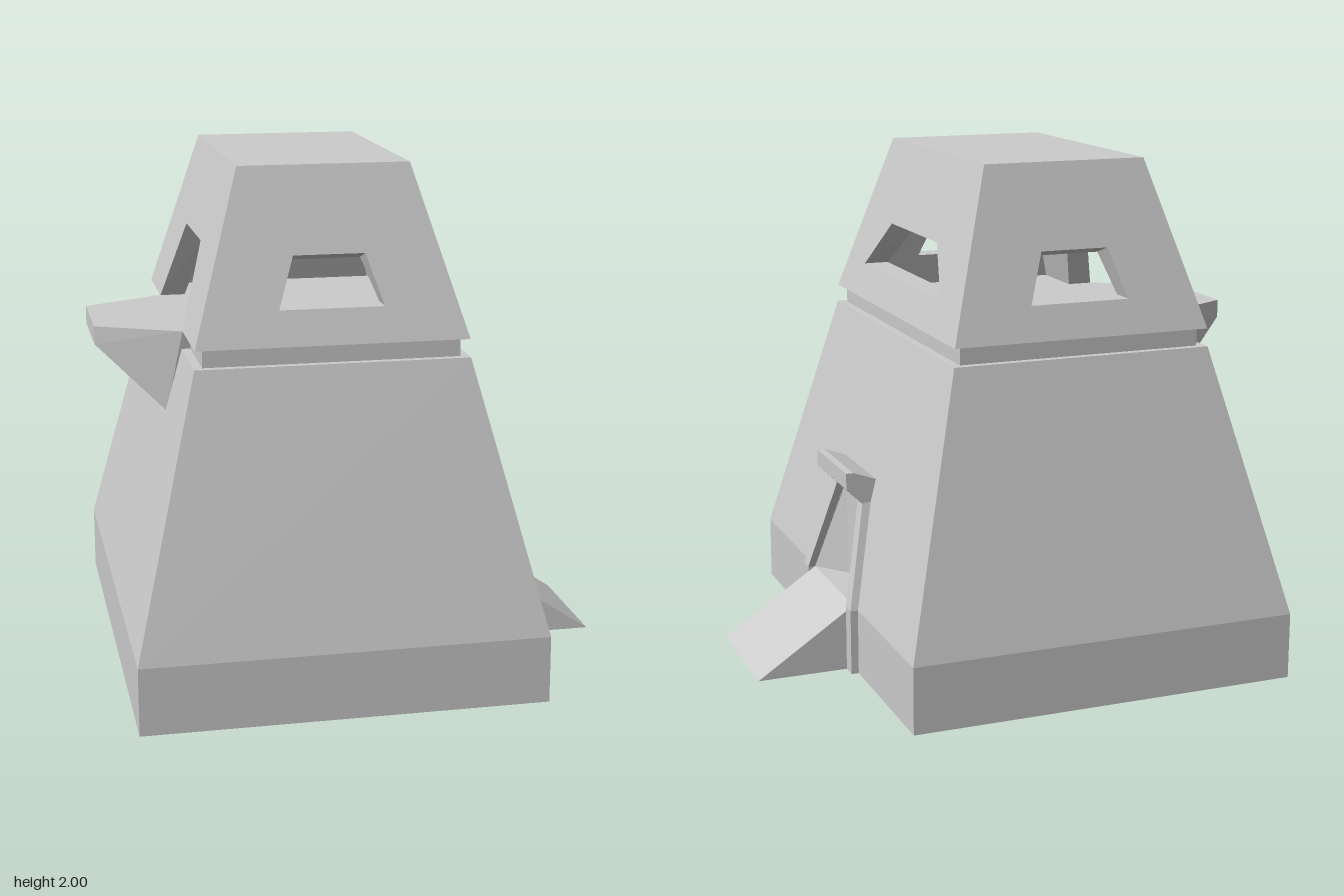
import * as THREE from 'three';
import { ConvexGeometry } from 'three/addons/geometries/ConvexGeometry.js';

const CX = -0.165; // centre of the tower in x
const mat = new THREE.MeshStandardMaterial({ color: 0xcccccc, flatShading: true });
const thinMat = new THREE.MeshStandardMaterial({ color: 0xcccccc, flatShading: true, side: THREE.DoubleSide });

function part(parent, name, geometry, material = mat) {
  const mesh = new THREE.Mesh(geometry, material);
  mesh.name = name;
  parent.add(mesh);
  return mesh;
}

const vectors = (pts) => pts.map(([x, y]) => new THREE.Vector2(x, y));

// Leaning wall facing +z, 0.1 thick, mitred at the corners.
// d = distance from the centre and h = half width, each [bottom, top].
// opening = { y: [bottom, top], h: [bottom, top] }; it becomes a doorway if it starts at y0.
function leaningWall(y0, y1, d, h, opening) {
  const at = (pair, y) => THREE.MathUtils.mapLinear(y, y0, y1, pair[0], pair[1]);
  const outline = [[-h[0], y0], [h[0], y0], [h[1], y1], [-h[1], y1]];
  let hole = null;
  if (opening) {
    const { y, h: o } = opening;
    hole = [[-o[0], y[0]], [-o[1], y[1]], [o[1], y[1]], [o[0], y[0]]];
    if (y[0] === y0) {
      outline.splice(1, 0, ...hole);
      hole = null;
    }
  }
  const shape = new THREE.Shape(vectors(outline));
  if (hole) shape.holes.push(new THREE.Path(vectors(hole)));
  const geo = new THREE.ExtrudeGeometry(shape, { depth: 1, bevelEnabled: false });
  const p = geo.attributes.position;
  for (let i = 0; i < p.count; i++) {
    const u = p.getX(i), y = p.getY(i), inward = 1 - p.getZ(i);
    const corner = Math.abs(u) > at(h, y) - 0.001;
    const newY = y > 1.6 ? y - 0.03 * inward : y; // window heads slope down inwards
    const newU = corner ? Math.sign(u) * (at(h, newY) - 0.1 * inward) : u;
    p.setXYZ(i, newU, newY, at(d, newY) - 0.1 * inward);
  }
  geo.computeVertexNormals();
  return geo;
}

// Four leaning walls; openings in the order front, left, back, right
function wallRing(parent, name, y0, y1, hx, hz, openings) {
  const ring = new THREE.Group();
  ring.name = name;
  ring.position.x = CX;
  ['front', 'left', 'back', 'right'].forEach((side, k) => {
    const [d, h] = k % 2 ? [hx, hz] : [hz, hx];
    part(ring, side + 'Wall', leaningWall(y0, y1, d, h, openings[k])).rotation.y = k * Math.PI / 2;
  });
  parent.add(ring);
}

// Box between two levels with different half sizes below and above
function taperedBox(y0, y1, bottom, top) {
  const geo = new THREE.BoxGeometry(2, 1, 2);
  const p = geo.attributes.position;
  for (let i = 0; i < p.count; i++) {
    const up = p.getY(i) > 0, [hx, hz] = up ? top : bottom;
    p.setXYZ(i, CX + p.getX(i) * hx, up ? y1 : y0, p.getZ(i) * hz);
  }
  geo.computeVertexNormals();
  return geo;
}

// Side profile in x and y, swept across z
function sweep(profile, halfWidth) {
  const geo = new THREE.ExtrudeGeometry(new THREE.Shape(vectors(profile)), { depth: 2 * halfWidth, bevelEnabled: false });
  return geo.translate(0, 0, -halfWidth);
}

export function createModel() {
  const model = new THREE.Group();
  model.name = 'watchtower';

  // Plinth, leaning body and recessed neck
  part(model, 'plinth', taperedBox(0, 0.26, [0.775, 0.967], [0.775, 0.967]));
  wallRing(model, 'body', 0.26, 1.29, [0.775, 0.518], [0.967, 0.71],
    [null, { y: [0.26, 0.65], h: [0.26, 0.135] }, null, null]);
  part(model, 'neck', taperedBox(1.25, 1.36, [0.485, 0.68], [0.485, 0.68]));

  // Lookout room: windows on three sides, a doorway to the balcony
  const smallWindow = { y: [1.49, 1.68], h: [0.198, 0.135] };
  wallRing(model, 'lookout', 1.36, 2, [0.515, 0.325], [0.71, 0.515], [
    smallWindow,
    { y: [1.49, 1.68], h: [0.453, 0.265] },
    smallWindow,
    { y: [1.36, 1.68], h: [0.36, 0.21] },
  ]);
  part(model, 'roof', taperedBox(1.9, 2, [0.32, 0.51], [0.325, 0.515]));

  // Balcony
  const balcony = [];
  for (const s of [-1, 1]) {
    for (const [x, y, z] of [[-1, 1.36, 0.2], [-1, 1.29, 0.2], [-0.68, 1.36, 0.36],
      [-0.74, 1.04, 0.31], [-0.62, 1.04, 0.31], [-0.6, 1.36, 0.36]]) {
      balcony.push(new THREE.Vector3(x, y, s * z));
    }
  }
  part(model, 'balcony', new ConvexGeometry(balcony));

  // Entrance: ramp, splayed niche, lintel and leaning posts
  const entrance = new THREE.Group();
  entrance.name = 'entrance';
  model.add(entrance);
  part(entrance, 'ramp', sweep([[0.6, 0], [1, 0], [0.61, 0.26], [0.6, 0.26]], 0.26));
  part(entrance, 'lintel', sweep([[0.47, 0.65], [0.545, 0.65], [0.61, 0.715], [0.61, 0.78], [0.58, 0.78], [0.47, 0.74]], 0.195));

  const niche = new THREE.BufferGeometry();
  niche.setAttribute('position', new THREE.Float32BufferAttribute([
    0.61, 0.26, 0.26, 0.507, 0.26, 0.13, 0.507, 0.66, 0.13,
    0.61, 0.26, -0.26, 0.507, 0.26, -0.13, 0.507, 0.66, -0.13,
  ], 3));
  niche.setIndex([0, 2, 1, 3, 4, 5, 1, 2, 5, 1, 5, 4]);
  niche.computeVertexNormals();
  part(entrance, 'niche', niche, thinMat);

  // Each post is a straight foot and a leaning upper length
  const levels = [[0, 0.6, 0.64, 0.26], [0.26, 0.6, 0.64, 0.26], [0.655, 0.5, 0.545, 0.135]];
  for (const s of [-1, 1]) {
    const post = new THREE.Group();
    post.name = s > 0 ? 'frontDoorPost' : 'backDoorPost';
    entrance.add(post);
    for (let i = 0; i < 2; i++) {
      const corners = [];
      for (const [y, xa, xb, z] of levels.slice(i, i + 2)) {
        for (const x of [xa, xb]) for (const w of [z, z + 0.06]) corners.push(new THREE.Vector3(x, y, s * w));
      }
      part(post, i ? 'upperPost' : 'postFoot', new ConvexGeometry(corners));
    }
  }
  return model;
}
